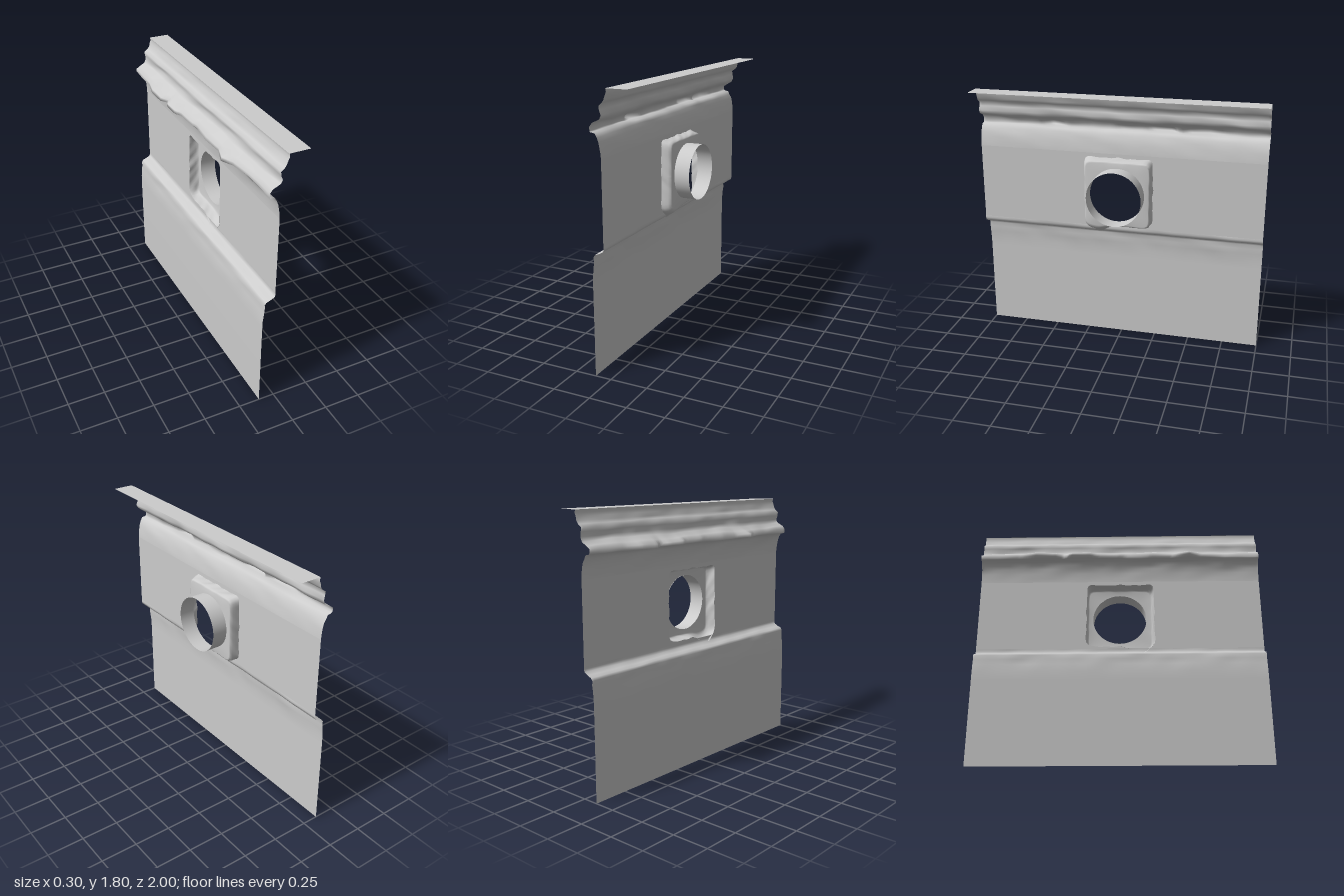
import * as THREE from 'three';

const WALL_X = -0.028;

// Open surface through rows x cols points given by pointAt(row, col)
function loft(rows, cols, pointAt) {
  const pos = [], index = [];
  for (let r = 0; r < rows; r++) {
    for (let c = 0; c < cols; c++) {
      pos.push(...pointAt(r, c));
      if (r < rows - 1 && c < cols - 1) {
        const a = r * cols + c, b = a + 1, d = a + cols, e = d + 1;
        index.push(a, d, b, b, d, e);
      }
    }
  }
  const g = new THREE.BufferGeometry();
  g.setAttribute('position', new THREE.Float32BufferAttribute(pos, 3));
  g.setIndex(index);
  g.computeVertexNormals();
  return g;
}

// How far the crumpled lip reaches in x along the wall: [z, x]
const lip = [[-1, -0.105], [-0.72, -0.115], [-0.6, -0.145], [-0.46, -0.14], [-0.4, -0.105], [-0.35, -0.14],
  [-0.21, -0.14], [-0.17, -0.115], [0, -0.11], [0.05, -0.1], [0.22, -0.118], [0.38, -0.11],
  [0.5, -0.153], [0.58, -0.112], [0.75, -0.095], [1, -0.1]];
function lipAt(z) {
  let i = 0;
  while (i < lip.length - 2 && lip[i + 1][0] < z) i++;
  const [z0, x0] = lip[i], [z1, x1] = lip[i + 1];
  return x0 + (x1 - x0) * (z - z0) / (z1 - z0);
}
const wave = (z, s) => (Math.sin(z * 7.1 + s * 2.3) + Math.sin(z * 17.3 + s * 5.1) * 0.6 + Math.sin(z * 31 + s) * 0.3) / 1.9;

export function createModel() {
  const group = new THREE.Group();
  const grey = new THREE.MeshStandardMaterial({ color: 0xcccccc, side: THREE.DoubleSide });
  grey.name = 'plain grey';
  const add = (name, geometry) => {
    const mesh = new THREE.Mesh(geometry, grey);
    mesh.name = name;
    group.add(mesh);
    return mesh;
  };

  // Lengthwise strip: profile rows are [x, y, wobble in x, wobble in y, pull towards the lip]
  const COLS = 101;
  const strip = (name, profile) => add(name, loft(profile.length, COLS, (r, c) => {
    const z = -1 + 2 * c / (COLS - 1);
    const [x, y, wx = 0, wy = 0, pull = 0] = profile[r];
    return [x + (lipAt(z) - x) * pull + wx * wave(z, r * 0.4), y + wy * wave(z, 3 + r * 0.3), z];
  }));

  // Flat ledge along the top
  const flange = add('topFlange', new THREE.PlaneGeometry(0.14, 2).rotateX(-Math.PI / 2));
  flange.position.set(0.08, 1.8, 0);

  // Crumpled cornice between ledge and wall
  strip('cornice', [
    [0.012, 1.8], [0.016, 1.78], [0.006, 1.76, 0.003], [0, 1.735, 0.003], [-0.012, 1.717, 0.004, 0.003],
    [-0.036, 1.7, 0.004, 0.004], [-0.032, 1.675, 0.005, 0.004], [-0.026, 1.645, 0.007, 0.004],
    [-0.04, 1.618, 0.008, 0.006], [-0.07, 1.594, 0.004, 0.006, 0.4], [-0.11, 1.573, 0, 0.006, 0.9],
    [-0.11, 1.55, 0, 0.006, 1], [-0.09, 1.543, 0.002, 0.004, 0.5], [-0.066, 1.538, 0.004, 0.003],
    [-0.055, 1.515, 0.005, 0.003], [-0.043, 1.49, 0.003, 0.003], [-0.036, 1.455, 0.003], [-0.03, 1.42, 0.001], [WALL_X, 1.39],
  ]);

  // Step below the wall, running down into the flat lower sheet
  strip('lowerWall', [
    [WALL_X, 0.86], [-0.027, 0.845, 0.002], [-0.033, 0.827, 0.003, 0.002], [-0.06, 0.812, 0.003, 0.003],
    [-0.088, 0.802, 0.003, 0.003], [-0.098, 0.785, 0.003], [-0.096, 0.755, 0.005], [-0.102, 0.715, 0.003],
    [-0.107, 0.66], [-0.108, 0.6], [-0.108, 0],
  ]);

  // Soft-cornered square boss, lofted from the wall to a round opening
  const SEG = 96, CY = 1.12;
  const rings = [[1.0, WALL_X], [0.985, -0.005], [0.97, 0.018], [0.945, 0.034], [0.91, 0.04]];
  const bossPoint = (r, c) => {
    const t = (c % SEG) / SEG * Math.PI * 2, co = Math.cos(t), si = Math.sin(t);
    if (r === rings.length) return [0.042, CY + 0.19 * si, 0.19 * co];
    const [scale, x] = rings[r];
    const half = 1 / Math.pow(Math.abs(co / 0.24) ** 14 + Math.abs(si / 0.243) ** 14, 1 / 14);
    const ripple = 1 + (Math.sin(t * 9 + r) + Math.sin(t * 17 + r * 2)) * 0.011 * (1 - r / 6);
    const d = half * scale * ripple, z = d * co;
    // Sagging foot under one lower corner
    const sag = si < -0.4 ? Math.exp(-(((z - 0.14) / 0.075) ** 2)) * (1 - r / 5) : 0;
    return [x - 0.012 * sag, CY + d * si - 0.06 * sag, z + 0.005 * (1 - r / 5)];
  };
  add('boss', loft(rings.length + 1, SEG + 1, bossPoint));

  // Flat wall with the boss outline cut out
  const wall = new THREE.Shape([[-1, 0.86], [1, 0.86], [1, 1.39], [-1, 1.39]].map(([u, y]) => new THREE.Vector2(u, y)));
  const outline = [];
  for (let c = 0; c < SEG; c++) {
    const [, y, z] = bossPoint(0, c);
    outline.push(new THREE.Vector2(-z, Math.max(y, 0.863)));
  }
  wall.holes.push(new THREE.Path(outline));
  add('wallPanel', new THREE.ShapeGeometry(wall).rotateY(Math.PI / 2)).position.x = WALL_X;

  // Round open sleeve
  const sleeve = add('sleeve', new THREE.CylinderGeometry(0.19, 0.19, 0.11, 64, 1, true).rotateZ(Math.PI / 2));
  sleeve.position.set(0.095, CY, 0);

  return group;
}
